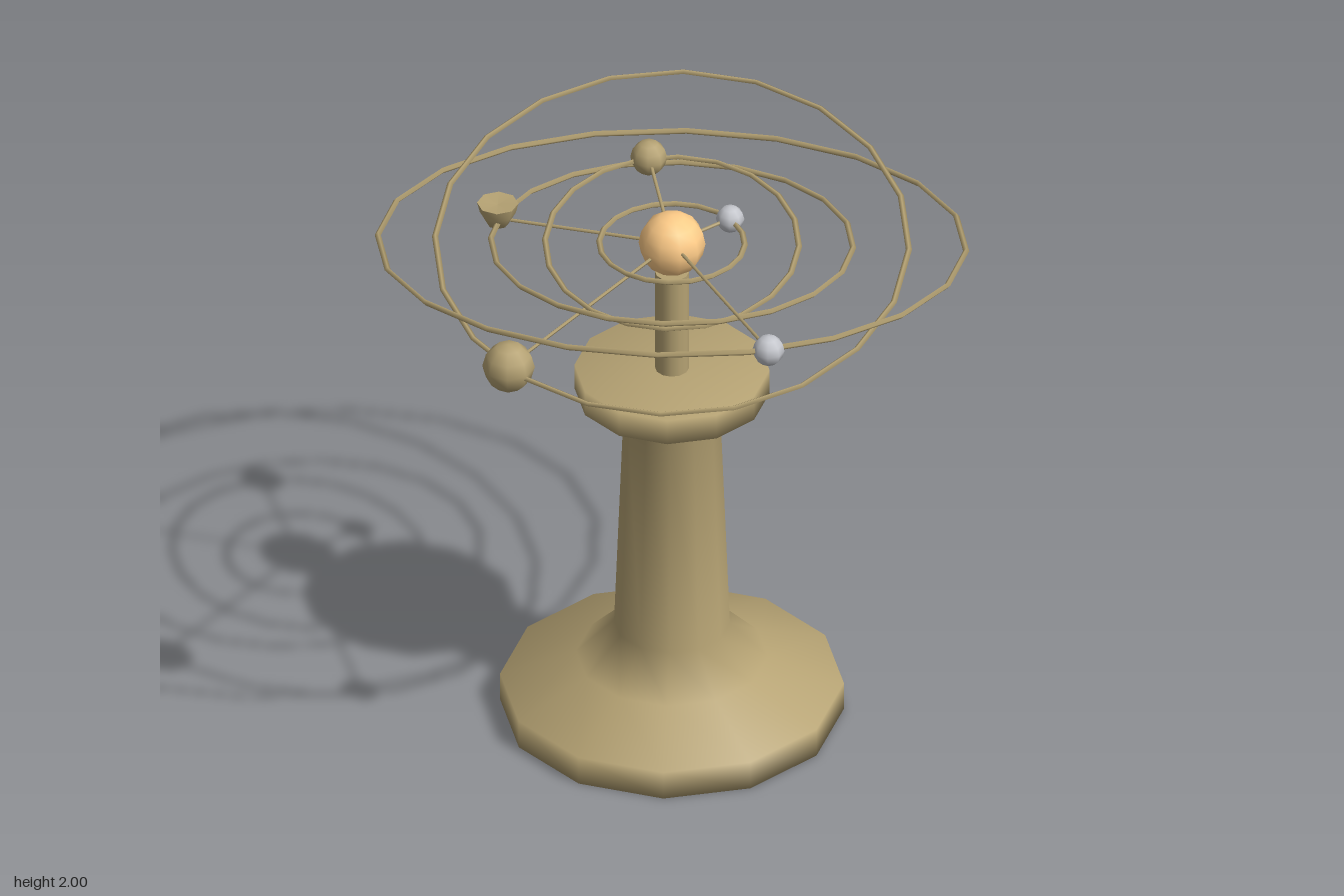
import * as THREE from 'three';

const BRASS = new THREE.MeshStandardMaterial({ color: 0xb5a273 });
const SILVER = new THREE.MeshStandardMaterial({ color: 0xc4c6cc });
const GOLD = new THREE.MeshStandardMaterial({ color: 0xffcc88 });
const HUB = new THREE.Vector3(0, 1.78, 0);

function add(parent, name, geometry, material) {
  const mesh = new THREE.Mesh(geometry, material);
  mesh.name = name;
  parent.add(mesh);
  return mesh;
}

function lathe(points, sides) {
  return new THREE.LatheGeometry(points.map(([r, y]) => new THREE.Vector2(r, y)), sides);
}

// thin rod between two points
function addRod(parent, name, from, to, radius) {
  const dir = to.clone().sub(from);
  const rod = add(parent, name, new THREE.CylinderGeometry(radius, radius, dir.length(), 5), BRASS);
  rod.position.copy(from).addScaledVector(dir, 0.5);
  rod.quaternion.setFromUnitVectors(new THREE.Vector3(0, 1, 0), dir.normalize());
}

export function createModel() {
  const model = new THREE.Group();
  model.name = 'orrery';

  // turned twelve-sided pedestal with flared foot and collar
  add(model, 'pedestal', lathe([
    [0, 0], [0.555, 0], [0.555, 0.1], [0.31, 0.195], [0.187, 0.32],
    [0.157, 1.11], [0.315, 1.21], [0.315, 1.3], [0, 1.3],
  ], 12), BRASS);

  // post under the sun
  add(model, 'post', new THREE.CylinderGeometry(0.055, 0.055, 0.39, 12), BRASS)
    .position.y = 1.475;

  add(model, 'sun', new THREE.SphereGeometry(0.108, 10, 8), GOLD).position.copy(HUB);

  // orbits: ring radius, slope towards the front, planet x and z, planet size
  const orbits = [
    { ring: 0.235, slope: 0.01, x: 0.18, z: -0.155, size: 0.046, material: SILVER },
    { ring: 0.41, slope: -0.165, x: -0.095, z: -0.4, size: 0.06, material: BRASS },
    { ring: 0.585, slope: 0.12, x: -0.57, z: -0.145, size: 0.067, material: BRASS, bowl: true },
    { ring: 0.765, slope: -0.23, x: -0.5, z: 0.555, size: 0.085, material: BRASS },
    { ring: 0.95, slope: 0.193, x: 0.355, z: 0.865, size: 0.052, material: SILVER },
  ];

  orbits.forEach((o, i) => {
    const orbit = new THREE.Group();
    orbit.name = `orbit${i + 1}`;
    model.add(orbit);

    const ring = add(orbit, 'orbitRing', new THREE.TorusGeometry(o.ring, 0.01, 4, 20), BRASS);
    ring.rotation.x = Math.PI / 2 - Math.atan(o.slope);
    ring.position.copy(HUB);

    const centre = new THREE.Vector3(o.x, HUB.y + o.slope * o.z, o.z);
    addRod(orbit, 'planetArm', HUB, centre, 0.006);

    // one planet is a flat-topped half body, the rest are faceted balls
    const s = o.size;
    const body = o.bowl
      ? lathe([[0, -0.02], [0.035, -0.02], [0.058, 0.022], [s, 0.058], [s, 0.058], [0, 0.052]], 8)
      : new THREE.SphereGeometry(s, 8, 6);
    add(orbit, 'planet', body, o.material).position.copy(centre);
  });

  return model;
}
